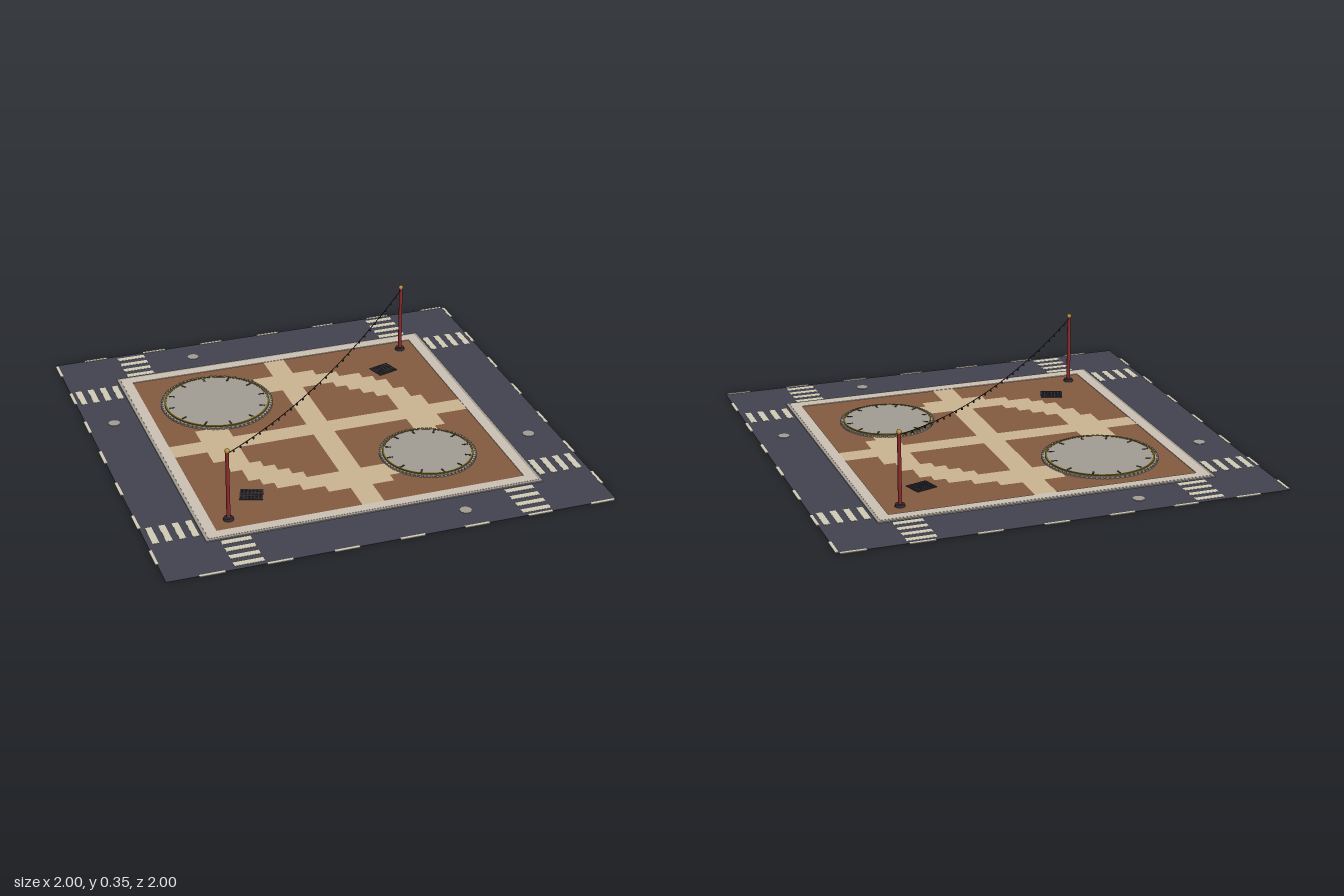
import * as THREE from 'three';
import { mergeGeometries } from 'three/addons/utils/BufferGeometryUtils.js';

const material = (name, color) => {
  const m = new THREE.MeshStandardMaterial({ color });
  m.name = name;
  return m;
};

export function createModel() {
  const asphalt = material('asphalt', 0x42414f);
  const paint = material('road paint', 0xd0cab4);
  const pavingStone = material('pale paving', 0xcac1b3);
  const greyStone = material('grey stone', 0xa29c93);
  const soil = material('brown brick', 0x835b40);
  const sand = material('sand path', 0xc9b48f);
  const brass = material('dark brass', 0x756019);
  const gold = material('gold', 0xb8963c);
  const red = material('red lacquer', 0x8c2c2c);
  const iron = material('dark iron', 0x2f2e35);

  const model = new THREE.Group();
  model.name = 'plaza';
  const add = (name, geometry, mat, x = 0, y = 0, z = 0, parent = model) => {
    const mesh = new THREE.Mesh(geometry, mat);
    mesh.name = name;
    mesh.position.set(x, y, z);
    parent.add(mesh);
    return mesh;
  };
  // Box standing on height y
  const slab = (w, h, d, x, y, z) => new THREE.BoxGeometry(w, h, d).translate(x, y + h / 2, z);
  // Flat square frame with an outer and inner half width
  const frame = (outer, inner, height) => {
    const square = (r, Type) => new Type([[-r, -r], [r, -r], [r, r], [-r, r]].map(p => new THREE.Vector2(...p)));
    const shape = square(outer, THREE.Shape);
    shape.holes.push(square(inner, THREE.Path));
    return new THREE.ExtrudeGeometry(shape, { depth: height, bevelEnabled: false }).rotateX(-Math.PI / 2);
  };
  // Flat ring with real thickness
  const ring = (outer, inner, height) => new THREE.LatheGeometry(
    [[inner, 0], [outer, 0], [outer, height], [inner, height], [inner, 0]].map(p => new THREE.Vector2(...p)), 64
  ).toNonIndexed();
  const flatRing = (...args) => {
    const g = ring(...args);
    g.computeVertexNormals();
    return g;
  };

  // Ground layers
  add('road', slab(1.986, 0.002, 1.986, 0, 0, 0), asphalt);
  add('kerb', frame(0.757, 0.743, 0.007), greyStone);
  add('sidewalk', frame(0.743, 0.695, 0.008), pavingStone);
  add('brickCourt', slab(1.39, 0.005, 1.39, 0, 0, 0), soil);

  // Road paint: crosswalk bars and edge dashes on all four sides
  const marks = [];
  for (let side = 0; side < 4; side++) {
    const turn = g => marks.push(g.rotateY(side * Math.PI / 2));
    for (const x of [-0.635, 0.635]) {
      for (let i = 0; i < 4; i++) turn(slab(0.13, 0.001, 0.028, x, 0.002, -0.955 + i * 0.0575));
    }
    for (let i = 0; i < 7; i++) {
      const x = -0.8 + i * 0.288;
      turn(slab(0.11, 0.0035, 0.014, side < 2 ? x : -x, 0, -0.993));
    }
  }
  add('roadMarkings', mergeGeometries(marks), paint);

  // Round covers set in the road
  for (const [x, z] of [[-0.35, -0.87], [-0.87, -0.35], [0.35, 0.87], [0.87, 0.35]]) {
    add('manholeCover', new THREE.CylinderGeometry(0.026, 0.026, 0.002, 20), greyStone, x, 0.003, z);
  }

  // Stepped paths laid on a square tile grid: a cross and a ring
  const tile = 1.39 / 28;
  const tiles = [];
  for (let i = -14; i < 14; i++) {
    for (let j = -14; j < 14; j++) {
      const x = i + 0.5, z = j + 0.5, r = Math.hypot(x, z);
      const onCross = Math.abs(x) < 1 || Math.abs(z) < 1;
      if (onCross || (r > 8.4 && r < 10.9)) {
        tiles.push(new THREE.PlaneGeometry(tile, tile).rotateX(-Math.PI / 2).translate(x * tile, 0.0065, z * tile));
      }
    }
  }
  add('paths', mergeGeometries(tiles), sand);

  // Round dial platforms
  const platform = (name, x, z, radius) => {
    const group = new THREE.Group();
    group.name = name;
    group.position.set(x, 0, z);
    model.add(group);
    const put = (part, g, mat, y = 0) => add(part, g, mat, 0, y, 0, group);
    put('base', new THREE.CylinderGeometry(radius, radius, 0.012, 64), greyStone, 0.006);
    put('dial', new THREE.CylinderGeometry(radius * 0.94, radius * 0.94, 0.016, 64), greyStone, 0.008);
    put('brassRim', flatRing(radius * 0.97, radius * 0.935, 0.0175), brass);
    const stones = [], ticks = [];
    for (let i = 0; i < 72; i++) {
      stones.push(slab(0.009, 0.014, radius * 0.06, radius + 0.003, 0, 0).rotateY(i * Math.PI / 36));
    }
    for (let i = 0; i < 12; i++) {
      ticks.push(slab(0.026, 0.002, 0.008, radius * 0.86, 0.0155, 0).rotateY(i * Math.PI / 6));
    }
    put('edgeStones', mergeGeometries(stones), greyStone);
    put('hourMarks', mergeGeometries(ticks), iron);
  };
  platform('largeDial', -0.375, -0.38, 0.25);
  platform('smallDial', 0.375, 0.37, 0.208);

  // Iron grates of crossed bars
  const grate = (x, z, angle) => {
    const bars = [];
    for (let i = 0; i < 7; i++) {
      const t = (i - 3) / 6;
      bars.push(slab(0.1, 0.003, 0.006, 0, 0.005, t * 0.08));
      bars.push(slab(0.006, 0.003, 0.085, t * 0.095, 0.005, 0));
    }
    add('grate', mergeGeometries(bars), iron, x, 0, z).rotation.y = angle;
  };
  grate(0.47, -0.445, 0.3);
  grate(-0.47, 0.46, -0.35);

  // Poles with iron feet and gold finials
  const end = 0.62;
  for (const s of [-1, 1]) {
    const pole = new THREE.Group();
    pole.name = s > 0 ? 'backLeftPole' : 'frontRightPole';
    pole.position.set(s * end, 0, -s * end);
    model.add(pole);
    add('foot', new THREE.CylinderGeometry(0.02, 0.023, 0.012, 16), iron, 0, 0.011, 0, pole);
    add('shaft', new THREE.CylinderGeometry(0.008, 0.009, 0.32, 12), red, 0, 0.17, 0, pole);
    add('finial', new THREE.SphereGeometry(0.011, 12, 8), gold, 0, 0.335, 0, pole);
  }

  // Sagging cable with small hanging lamps
  const hang = t => new THREE.Vector3(t * end, 0.241 + 0.081 * t * t, -t * end);
  const curve = new THREE.CatmullRomCurve3(Array.from({ length: 17 }, (_, i) => hang(i / 8 - 1)));
  add('cable', new THREE.TubeGeometry(curve, 48, 0.002, 5), iron);
  const lamps = { iron: [], red: [] };
  for (let i = 1; i < 30; i++) {
    const p = hang(i / 15 - 1);
    const lamp = new THREE.CylinderGeometry(0.0035, 0.0045, 0.009, 6).translate(p.x, p.y - 0.006, p.z);
    lamps[i % 4 === 1 ? 'red' : 'iron'].push(lamp);
  }
  add('darkLamps', mergeGeometries(lamps.iron), iron);
  add('redLamps', mergeGeometries(lamps.red), red);

  return model;
}
